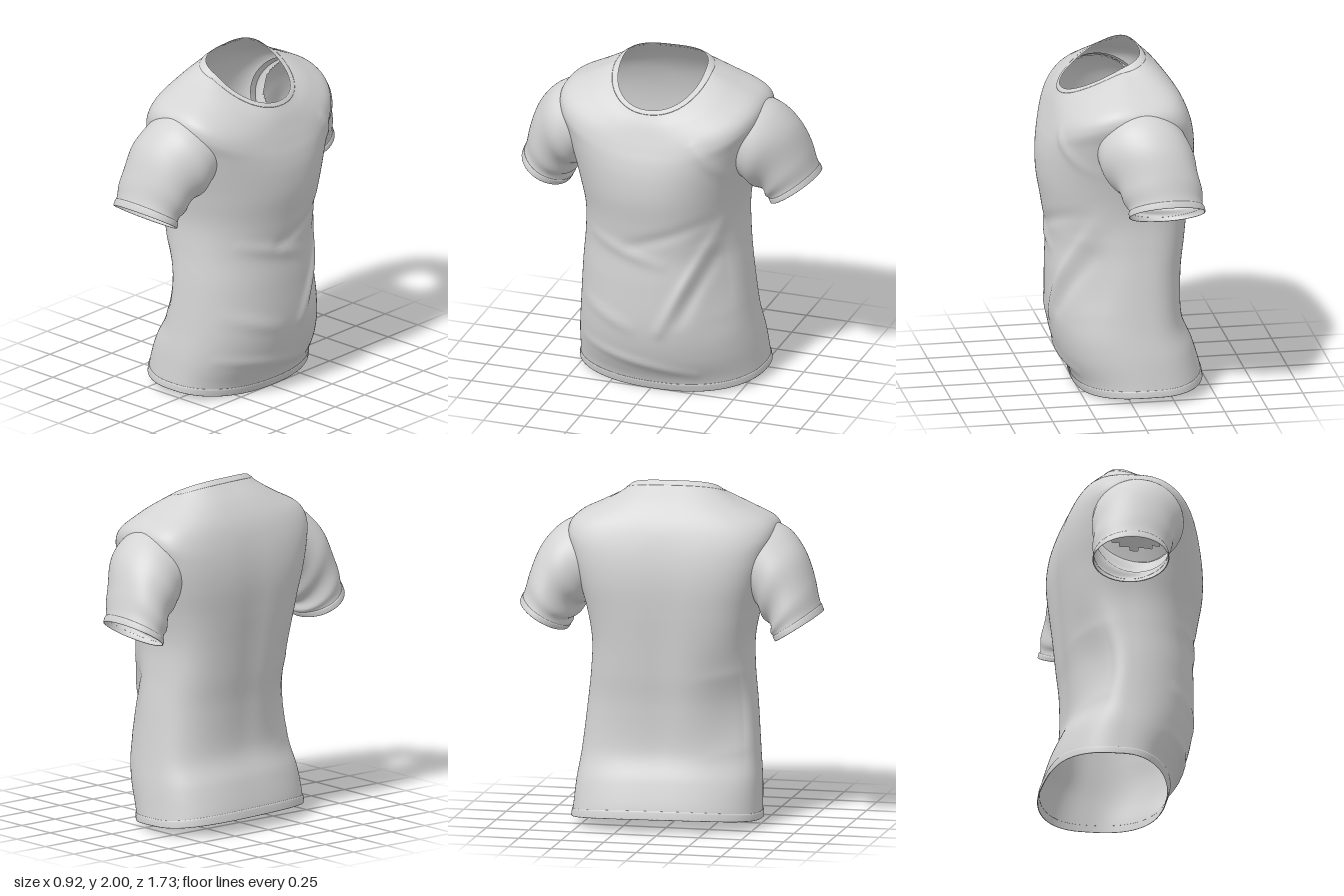
import * as THREE from 'three';

const SHEAR = 0.08; // the back and sleeves are turned slightly about the body's axis

// Torso rings, hem to neck:
// front x,y | back x,y | side x,y,z | squareness of front, back
const RINGS = [
  [0.25, 0.0, -0.45, 0.08, -0.1, 0.045, 0.54, 0.88, 0.76],
  [0.28, 0.08, -0.435, 0.16, -0.09, 0.115, 0.535, 0.9, 0.75],
  [0.355, 0.22, -0.395, 0.29, -0.07, 0.26, 0.525, 0.92, 0.75],
  [0.4, 0.42, -0.335, 0.45, -0.05, 0.43, 0.505, 0.92, 0.78],
  [0.405, 0.68, -0.335, 0.7, -0.03, 0.7, 0.48, 0.92, 0.78],
  [0.4, 0.88, -0.355, 0.9, -0.03, 0.9, 0.46, 0.92, 0.72],
  [0.425, 1.07, -0.37, 1.08, -0.03, 1.08, 0.455, 0.92, 0.66],
  [0.453, 1.24, -0.385, 1.26, -0.02, 1.26, 0.485, 0.92, 0.62],
  [0.455, 1.37, -0.392, 1.42, -0.02, 1.44, 0.53, 0.9, 0.58],
  [0.44, 1.47, -0.382, 1.55, -0.02, 1.6, 0.57, 0.85, 0.57],
  [0.415, 1.55, -0.355, 1.67, -0.01, 1.71, 0.595, 0.78, 0.58],
  [0.39, 1.62, -0.31, 1.78, 0, 1.785, 0.555, 0.75, 0.6],
  [0.365, 1.685, -0.24, 1.88, 0.01, 1.855, 0.42, 0.82, 0.65],
  [0.34, 1.735, -0.16, 1.96, 0.03, 1.91, 0.305, 0.92, 0.65],
  [0.32, 1.77, -0.115, 2.0, 0.04, 1.93, 0.25, 0.95, 0.65],
];

// Sleeve rings, armhole to cuff: top y,z | bottom y,z | centre x | half depth
const SLEEVE = [
  [1.775, 0.53, 1.32, 0.45, -0.02, 0.255],
  [1.71, 0.655, 1.27, 0.49, -0.03, 0.262],
  [1.6, 0.748, 1.22, 0.53, -0.06, 0.247],
  [1.44, 0.812, 1.165, 0.57, -0.09, 0.225],
  [1.32, 0.842, 1.13, 0.585, -0.105, 0.215],
  [1.255, 0.865, 1.09, 0.605, -0.11, 0.215],
];

// Cloth folds: z1,y1 to z2,y2 | height | width | side (1 front, -1 back)
const FOLDS = [
  [-0.46, 1.15, -0.08, 0.42, 0.022, 0.035, 1],
  [-0.36, 0.85, -0.2, 0.5, -0.02, 0.04, 1],
  [-0.42, 0.5, -0.38, 0.95, -0.05, 0.11, 1],
  [0.32, 0.95, -0.1, 0.84, 0.012, 0.035, 1],
  [0.1, 0.93, -0.35, 1.1, -0.012, 0.04, 1],
  [0.4, 0.52, 0.1, 0.42, 0.012, 0.035, 1],
  [0.42, 0.25, -0.25, 0.13, 0.012, 0.03, 1],
  [-0.3, 1.6, -0.46, 1.38, 0.012, 0.03, 1],
  [0.42, 0.45, 0.36, 0.9, -0.055, 0.15, -1],
  [0, 0.5, 0, 1.6, -0.01, 0.1, -1],
];

// Smooth interpolation through rows of numbers, t from 0 to 1
function sample(rows, t) {
  const f = t * (rows.length - 1);
  const i = Math.min(Math.floor(f), rows.length - 2);
  const u = f - i;
  const at = k => rows[THREE.MathUtils.clamp(k, 0, rows.length - 1)];
  return rows[i].map((b, k) => {
    const a = at(i - 1)[k], c = at(i + 1)[k], d = at(i + 2)[k];
    return b + 0.5 * u * (c - a + u * (2 * a - 5 * b + 4 * c - d + u * (3 * (b - c) + d - a)));
  });
}

function foldHeight(z, y, side) {
  let h = 0;
  for (const [z1, y1, z2, y2, amp, w, s] of FOLDS) {
    if (s !== side) continue;
    const dz = z2 - z1, dy = y2 - y1;
    const k = THREE.MathUtils.clamp(((z - z1) * dz + (y - y1) * dy) / (dz * dz + dy * dy), 0, 1);
    const d = Math.hypot(z - z1 - k * dz, y - y1 - k * dy);
    h += amp * Math.sin(Math.PI * (0.15 + 0.7 * k)) * Math.exp(-((d / w) ** 2));
  }
  return h;
}

function torsoPoint(t, a, off = 0) {
  const [xf, yf, xb, yb, xs, ys, zs, pf, pb] = sample(RINGS, t);
  const c = Math.cos(a), s = Math.sin(a), side = c > 0 ? 1 : -1;
  const p = c > 0 ? pf : pb;
  const w = Math.abs(c) ** p;
  // the rings flatten into the sloping plane of the neckline
  const wy = Math.abs(c) ** THREE.MathUtils.lerp(1.5, p, THREE.MathUtils.smoothstep(t, 0.85, 1));
  const y = ys + ((c > 0 ? yf : yb) - ys) * wy;
  let z = zs * Math.sign(s) * Math.abs(s) ** p;
  let x = xs + ((c > 0 ? xf : xb) - xs) * w;
  x += side * foldHeight(z, y, side) * Math.min(1, Math.abs(c) * 2) + off * c;
  x += SHEAR * z * (1 - Math.max(0, c));
  z += off * s - 0.025 * Math.max(0, 1 - y / 1.2);
  return [x, Math.max(0, y), z];
}

function sleevePoint(side, t, a, off = 0) {
  const [yt, zt, yb, zb, xc, r] = sample(SLEEVE, t);
  const c = Math.cos(a), s = Math.sin(a), k = (s + 1) / 2;
  // soft puckers, strongest under the arm
  const pucker = 0.006 * Math.sin(t * 17 + c * 3) * Math.sin(Math.PI * t) * (1 - 0.8 * s);
  const grow = off + pucker;
  // the armhole edge curves round the chest and back
  const z = zb + (zt - zb) * k + grow * s * 0.6 - 0.045 * c * c * (1 - t) ** 4;
  const y = yb + (yt - yb) * k + grow * s * 0.8 + (side < 0 ? 0.03 * t : 0);
  return [xc - side * (r + grow) * c + SHEAR * side * z, y, side * z];
}

// Skin a surface through rings of points; skip(x, y, z) leaves openings
function loft(name, material, rows, n, point, skip) {
  const pos = [], index = [];
  for (let i = 0; i < rows; i++) {
    for (let j = 0; j < n; j++) pos.push(...point(i, (j / n) * Math.PI * 2));
  }
  for (let i = 0; i < rows - 1; i++) {
    for (let j = 0; j < n; j++) {
      const a = i * n + j, b = i * n + ((j + 1) % n);
      if (skip && skip(pos[a * 3], pos[a * 3 + 1], pos[a * 3 + 2])) continue;
      index.push(a, a + n, b, b, a + n, b + n);
    }
  }
  const g = new THREE.BufferGeometry();
  g.setAttribute('position', new THREE.Float32BufferAttribute(pos, 3));
  g.setIndex(index);
  g.computeVertexNormals();
  const mesh = new THREE.Mesh(g, material);
  mesh.name = name;
  return mesh;
}

// A sewn band: slightly raised strip between two levels
function band(name, material, t0, t1, point) {
  const steps = [[t0, -0.001], [t0, 0.003], [t0 + (t1 - t0) * 0.15, 0.005],
    [t0 + (t1 - t0) * 0.85, 0.005], [t1, 0.003], [t1, -0.001]];
  return loft(name, material, steps.length, 160, (i, a) => point(steps[i][0], a, steps[i][1]));
}

export function createModel() {
  const shirt = new THREE.Group();
  shirt.name = 'shirt';
  const cloth = new THREE.MeshStandardMaterial({ color: 0xd4d4d4, side: THREE.DoubleSide });
  cloth.name = 'light grey cloth';

  // Body, open at hem, neck and armholes
  const rows = 120;
  const armhole = (x, y, z) => Math.abs(z) > 0.4 &&
    ((x - SHEAR * z + 0.02) / 0.225) ** 2 + ((y - 1.535) / 0.2) ** 2 < 1;
  shirt.add(loft('body', cloth, rows, 200, (i, a) => torsoPoint(i / (rows - 1), a), armhole));

  // Hem and collar bands
  shirt.add(band('hem', cloth, 0, 0.05, torsoPoint));
  shirt.add(band('collar', cloth, 0.95, 1, torsoPoint));

  // Sleeves with cuffs
  for (const side of [1, -1]) {
    const label = side > 0 ? 'left' : 'right';
    const point = (t, a, off) => sleevePoint(side, t, a, off);
    shirt.add(loft(label + 'Sleeve', cloth, 40, 96, (i, a) => point(i / 39, a)));
    shirt.add(band(label + 'Cuff', cloth, 0.86, 1, point));
  }
  return shirt;
}
